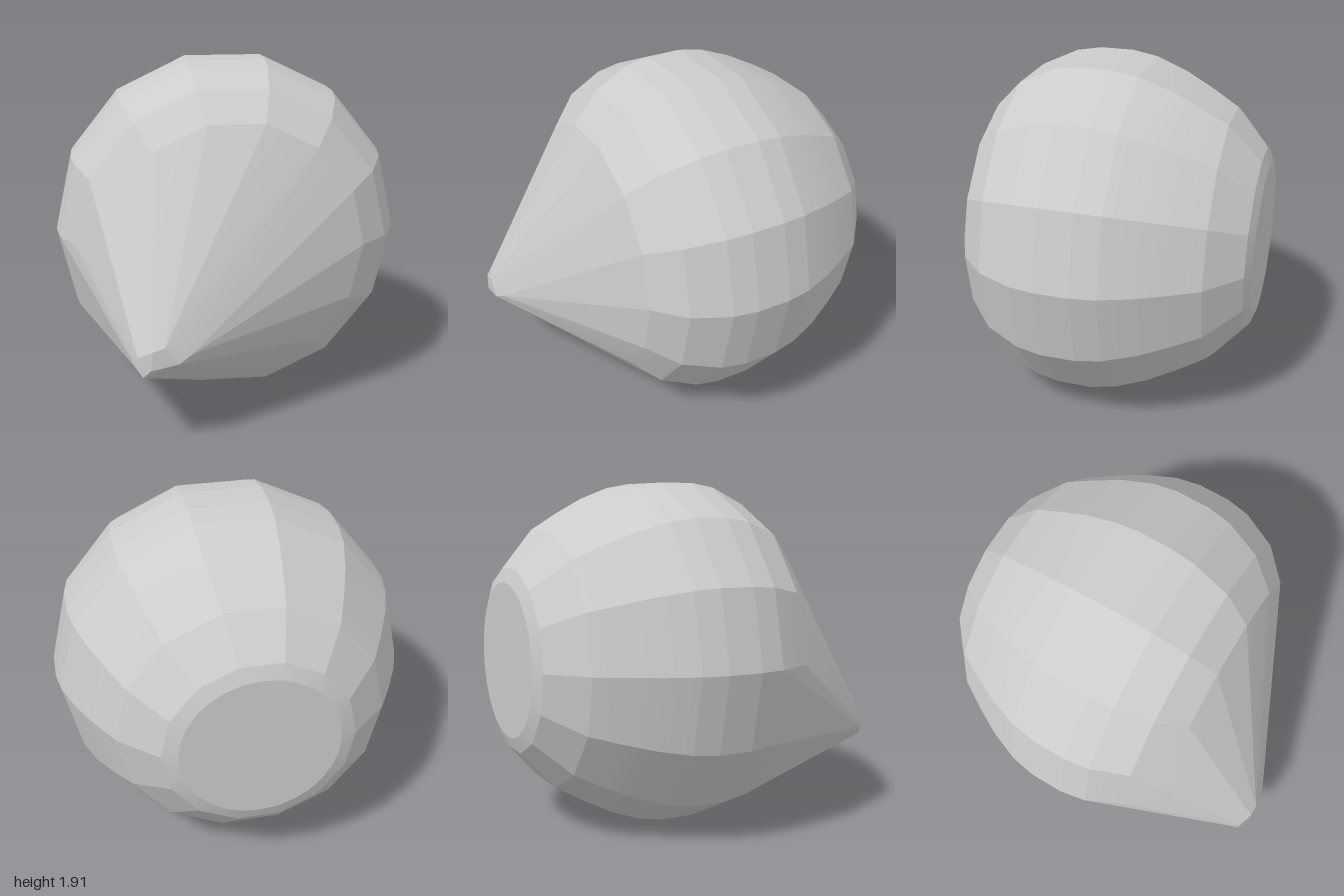
import * as THREE from 'three';
import { ConvexGeometry } from 'three/addons/geometries/ConvexGeometry.js';
import { toCreasedNormals } from 'three/addons/utils/BufferGeometryUtils.js';

const CENTER_Y = 0.958;

// A ring of points around the z axis
function ring(z, radius, sides) {
  return Array.from({ length: sides }, (_, i) => {
    const a = (i / sides) * Math.PI * 2;
    return new THREE.Vector3(radius * Math.cos(a), CENTER_Y + radius * Math.sin(a), z);
  });
}

export function createModel() {
  const group = new THREE.Group();
  group.name = 'pointedBoulder';

  // Rounded body: [z, radius] from the flat back to the front
  const profile = [
    [-0.97, 0.51], [-0.79, 0.715], [-0.64, 0.805], [-0.48, 0.89], [-0.31, 0.955],
    [-0.17, 0.98], [0.02, 0.98], [0.16, 0.955], [0.36, 0.86], [0.51, 0.7],
  ];
  const points = profile.flatMap(([z, r]) => ring(z, r, 14));

  // Flat, rounder disc at the back
  points.push(...ring(-1, 0.425, 28));

  // Small blunt tip, off to the lower right side of the front
  const tip = [
    [-0.56, 0.5, 0.97], [-0.555, 0.56, 0.97], [-0.53, 0.455, 0.98], [-0.49, 0.5, 1],
    [-0.48, 0.6, 1], [-0.42, 0.62, 1], [-0.35, 0.53, 1], [-0.28, 0.57, 0.975],
  ];
  points.push(...tip.map((p) => new THREE.Vector3(...p)));

  // Tight skin around body and tip, with crisp facets
  const geometry = toCreasedNormals(new ConvexGeometry(points), 0.15);
  const body = new THREE.Mesh(geometry, new THREE.MeshStandardMaterial({ color: 0xcccccc }));
  body.name = 'body';
  group.add(body);
  return group;
}
